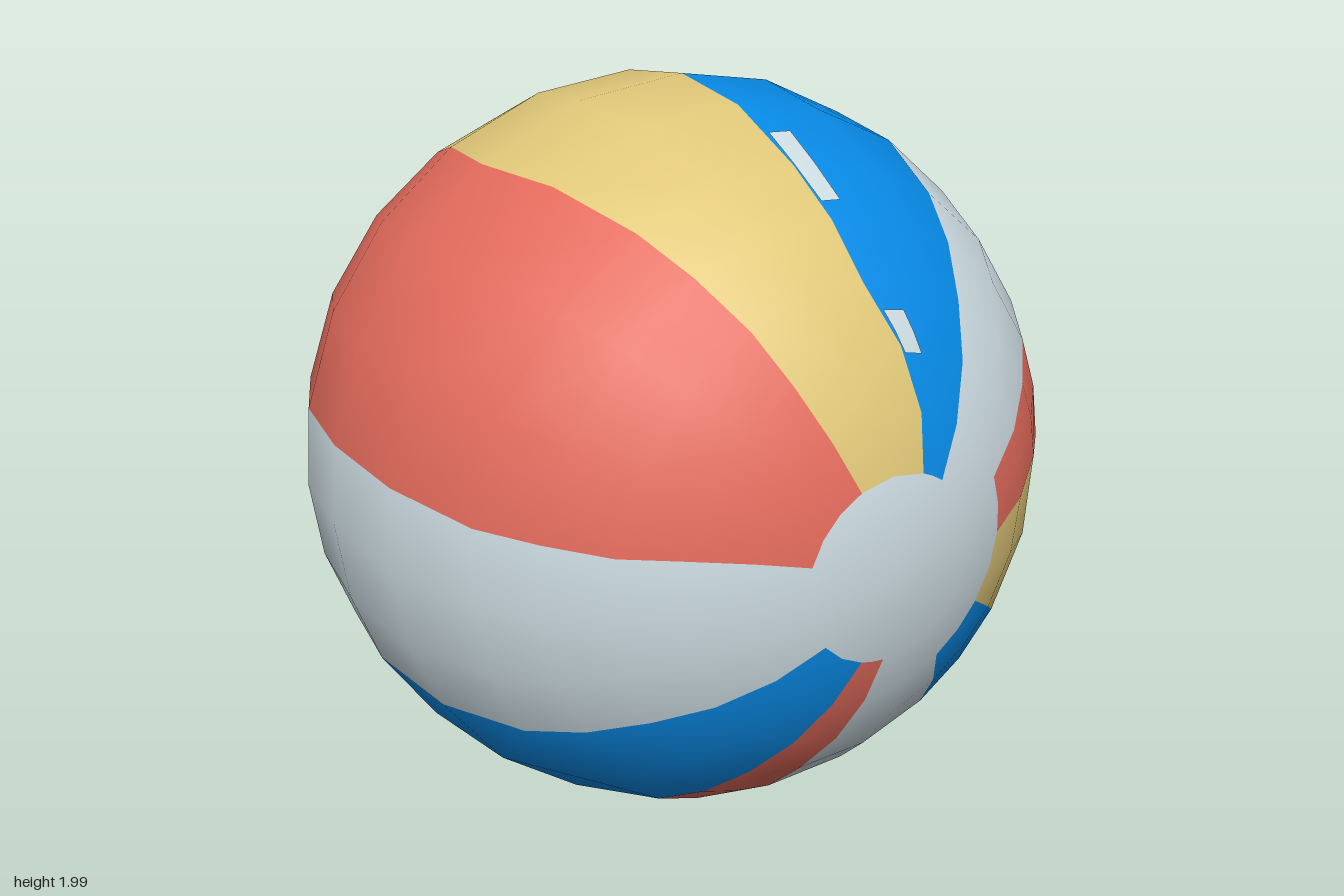
import * as THREE from 'three';

const RADIUS = 0.993;
const rad = THREE.MathUtils.degToRad;

const material = (name, color) => {
  const m = new THREE.MeshStandardMaterial({ color });
  m.name = name;
  return m;
};

// Rings from the front pole to the back pole, in degrees
const HALF = [0, 14, 22, 31, 40, 50, 60, 75];
const RINGS = [...HALF, 90, ...HALF.map((a) => 180 - a).reverse()];

// Angle of each seam around the axis, given at these distances from the front pole
const STATIONS = [16, 40, 60, 90, 120, 140, 164];
const SEAMS = [
  [-6, 6, 2, -1, -1, -10, -10],
  [20, 26, 27, 27, 27, 25, 20],
  [54, 58, 58, 57, 57, 57, 46],
  [70, 86, 88, 88, 88, 86, 60],
  [114, 115, 118, 123, 120, 117, 104],
  [164, 170, 171, 169, 168, 167, 165],
  [220, 213, 211, 206, 207, 211, 220],
  [252, 247, 246, 236, 245, 248, 252],
  [268, 262, 263, 269, 266, 266, 276],
  [304, 298, 298, 300, 299, 297, 304],
  [329, 326, 328, 328, 328, 340, 329],
];
SEAMS.push(SEAMS[0].map((a) => a + 360));

// Panel after each seam: colour, and the ring where the colour starts
const PANELS = [
  ['red', 2], ['white', 0], ['blue', 1], ['yellow', 1], ['red', 1], ['white', 0],
  ['blue', 1], ['red', 1], ['white', 0], ['blue', 2], ['yellow', 2],
];

// Small white marks beside a seam: seam, width in degrees, start and end ring angle
const MARKS = [
  [3, 4, 53, 67], [3, 6, 30, 36], [3, 4, 111, 125], [3, 6, 142, 150],
  [10, 4, 52, 58], [10, 4, 125, 132],
];

// Seam angle at a distance from the front pole
function seamAngle(seam, polar) {
  const p = THREE.MathUtils.clamp(polar, STATIONS[0], STATIONS[STATIONS.length - 1]);
  const k = Math.max(1, STATIONS.findIndex((s) => s >= p));
  const t = (p - STATIONS[k - 1]) / (STATIONS[k] - STATIONS[k - 1]);
  return THREE.MathUtils.lerp(seam[k - 1], seam[k], t);
}

// Strip of the ball between two seams, over a list of rings, with smooth normals
function gore(seamA, seamB, rings, radius) {
  const columns = Math.ceil((seamB[3] - seamA[3]) / 18);
  const positions = [], normals = [], index = [];
  for (const ring of rings) {
    const polar = rad(ring);
    const a = seamAngle(seamA, ring), b = seamAngle(seamB, ring);
    for (let j = 0; j <= columns; j++) {
      const around = rad(a + (b - a) * j / columns);
      const n = new THREE.Vector3(
        Math.sin(polar) * Math.cos(around), Math.sin(polar) * Math.sin(around), Math.cos(polar));
      normals.push(n.x, n.y, n.z);
      positions.push(n.x * radius, n.y * radius, n.z * radius);
    }
  }
  const row = columns + 1;
  for (let i = 0; i < rings.length - 1; i++) {
    for (let j = 0; j < columns; j++) {
      const a = i * row + j, b = a + row;
      if (rings[i + 1] < 180) index.push(a, b, b + 1);
      if (rings[i] > 0) index.push(a, b + 1, a + 1);
    }
  }
  const g = new THREE.BufferGeometry();
  g.setAttribute('position', new THREE.Float32BufferAttribute(positions, 3));
  g.setAttribute('normal', new THREE.Float32BufferAttribute(normals, 3));
  g.setIndex(index);
  return g;
}

export function createModel() {
  const materials = {
    red: material('red', 0xe36b5c),
    white: material('white', 0xcddce2),
    blue: material('blue', 0x078ae6),
    yellow: material('yellow', 0xe0c778),
  };
  const ball = new THREE.Group();
  ball.name = 'beachBall';
  const add = (name, color, seamA, seamB, rings, radius = RADIUS) => {
    const mesh = new THREE.Mesh(gore(seamA, seamB, rings, radius), materials[color]);
    mesh.name = name;
    ball.add(mesh);
  };

  PANELS.forEach(([color, start], k) => {
    const a = SEAMS[k], b = SEAMS[k + 1], end = RINGS.length - start;
    add(`${color}Panel${k + 1}`, color, a, b, RINGS.slice(start, end));
    // White end caps around both poles
    if (start > 0) {
      add(`frontCap${k + 1}`, 'white', a, b, RINGS.slice(0, start + 1));
      add(`backCap${k + 1}`, 'white', a, b, RINGS.slice(end - 1));
    }
  });

  // White marks, lifted just off the panels
  MARKS.forEach(([k, width, from, to], i) => {
    const rings = [from, (from + to) / 2, to];
    add(`seamMark${i + 1}`, 'white', SEAMS[k].map((a) => a - width), SEAMS[k], rings, RADIUS + 0.004);
  });

  // The pole axis lies level, turned towards the front left
  ball.rotation.y = rad(31);
  ball.position.set(0, 0.993, -0.008);

  const model = new THREE.Group();
  model.name = 'model';
  model.add(ball);
  return model;
}
